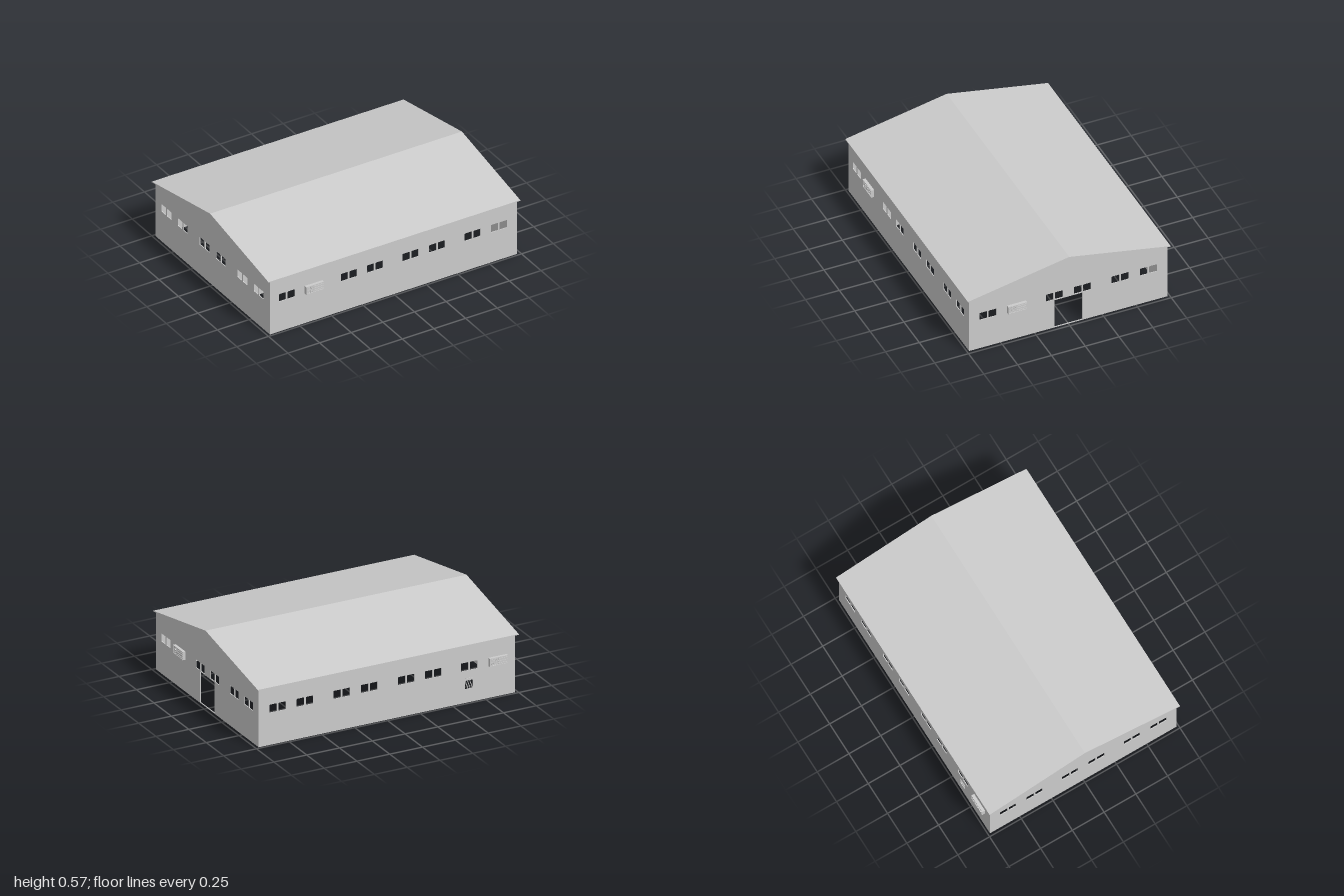
import * as THREE from 'three';

const mat = new THREE.MeshStandardMaterial({ color: 0xcccccc, side: THREE.DoubleSide });
const T = 0.006;                          // wall thickness
const EAVE = 0.432, RIDGE = 0.575, ROOF_Z = 0.75;
const X0 = -0.98, X1 = 0.975, Z1 = 0.735; // wall faces
const roofY = z => RIDGE - (RIDGE - 0.43) * Math.abs(z) / ROOF_Z;

function add(parent, name, geo, x = 0, y = 0, z = 0) {
  const m = new THREE.Mesh(geo, mat);
  m.name = name;
  m.position.set(x, y, z);
  parent.add(m);
  return m;
}
const box = (w, h, d) => new THREE.BoxGeometry(w, h, d);

// A bar between two points
function bar(parent, name, a, b, w, d) {
  const p = new THREE.Vector3(...a), q = new THREE.Vector3(...b);
  const m = add(parent, name, box(w, d, p.distanceTo(q)));
  m.position.copy(p).add(q).multiplyScalar(0.5);
  m.lookAt(q);
  return m;
}

// Two panes side by side: [left, right, bottom, top]
const pairs = centres => centres.flatMap(c => [
  [c - 0.063, c - 0.006, 0.236, 0.296],
  [c + 0.006, c + 0.063, 0.236, 0.296],
]);

// Rectangular hole with slightly rounded corners
function hole([l, r, b, t]) {
  const k = 0.005, p = new THREE.Path();
  p.moveTo(l + k, b);
  p.lineTo(r - k, b); p.quadraticCurveTo(r, b, r, b + k);
  p.lineTo(r, t - k); p.quadraticCurveTo(r, t, r - k, t);
  p.lineTo(l + k, t); p.quadraticCurveTo(l, t, l, t - k);
  p.lineTo(l, b + k); p.quadraticCurveTo(l, b, l + k, b);
  return p;
}

// Upright panel whose outer face lies on its local z = 0
function panel(parent, name, outline, openings) {
  const shape = new THREE.Shape(outline.map(([x, y]) => new THREE.Vector2(x, y)));
  shape.holes = openings.map(hole);
  const geo = new THREE.ExtrudeGeometry(shape, { depth: T, bevelEnabled: false, curveSegments: 3 });
  geo.translate(0, 0, -T);
  return add(parent, name, geo);
}
const rect = (l, r, h) => [[l, 0], [r, 0], [r, h], [l, h]];

// A side of the building turned to face outwards
function side(parent, name, x, z, turn) {
  const g = new THREE.Group();
  g.name = name;
  g.position.set(x, 0, z);
  g.rotation.y = turn;
  parent.add(g);
  return g;
}

// Wall-mounted cooling unit with a round fan grille and louvres
function coolingUnit(parent, u) {
  const g = new THREE.Group();
  g.name = 'coolingUnit';
  g.position.set(u, 0.266, 0);
  parent.add(g);
  add(g, 'unitCase', box(0.14, 0.06, 0.018), 0, 0, 0.009);
  for (const s of [-1, 1]) {
    add(g, 'unitRim', box(0.14, 0.004, 0.004), 0, s * 0.028, 0.02);
    add(g, 'unitRim', box(0.004, 0.06, 0.004), s * 0.068, 0, 0.02);
  }
  for (const r of [0.012, 0.024]) add(g, 'fanRing', new THREE.TorusGeometry(r, 0.0015, 6, 24), -0.036, 0, 0.02);
  for (let i = 0; i < 4; i++) {
    const spoke = add(g, 'fanSpoke', box(0.048, 0.003, 0.002), -0.036, 0, 0.02);
    spoke.rotation.z = i * Math.PI / 4;
  }
  for (let i = -1; i <= 1; i++) add(g, 'louvre', box(0.07, 0.005, 0.004), 0.03, i * 0.016, 0.02);
}

// Small vent opening with slanted bars and a narrow hood above
const ventHole = u => [u - 0.029, u + 0.029, 0.1, 0.162];
function vent(parent, u) {
  for (let i = -1; i <= 1; i++) {
    const b = add(parent, 'ventBar', box(0.005, 0.058, 0.003), u + i * 0.017, 0.131, -T / 2);
    b.rotation.z = 0.35;
  }
  add(parent, 'ventHood', box(0.058, 0.003, 0.004), u, 0.178, 0.001);
}

export function createModel() {
  const model = new THREE.Group();
  model.name = 'warehouse';

  // Long front and back walls
  const front = side(model, 'frontSide', 0, Z1, 0);
  panel(front, 'frontWall', rect(X0, X1, EAVE),
    pairs([-0.845, -0.355, -0.15, 0.1325, 0.3425, 0.6225, 0.83]));
  coolingUnit(front, -0.635);

  const back = side(model, 'backSide', 0, -Z1, Math.PI);
  panel(back, 'backWall', rect(-X1, -X0, EAVE),
    [...pairs([-0.83, -0.6225, -0.3425, -0.1325, 0.15, 0.355, 0.63]), ventHole(0.628)]);
  vent(back, 0.628);
  coolingUnit(back, 0.845);

  // Gable walls; the left one has the doorway
  const gable = [[Z1, 0], [Z1, EAVE], [0, RIDGE - 0.004], [-Z1, EAVE], [-Z1, 0]];
  const doorGable = [[0.104, 0], [0.104, 0.23], [-0.104, 0.23], [-0.104, 0], [-Z1, 0],
    [-Z1, EAVE], [0, RIDGE - 0.004], [Z1, EAVE], [Z1, 0]];
  const left = side(model, 'leftSide', X1, 0, Math.PI / 2);
  panel(left, 'leftGableWall', doorGable, pairs([-0.595, -0.104, 0.104, 0.383, 0.592]));
  add(left, 'doorThreshold', box(0.21, 0.005, T), 0, 0.0025, -T / 2);
  coolingUnit(left, -0.384);

  const right = side(model, 'rightSide', X0, 0, -Math.PI / 2);
  panel(right, 'rightGableWall', gable, pairs([-0.592, -0.383, -0.104, 0.104, 0.383, 0.592]));

  // Pitched roof sheet
  const roofShape = new THREE.Shape([[ROOF_Z, 0.43], [0, RIDGE], [-ROOF_Z, 0.43],
    [-ROOF_Z, 0.424], [0, RIDGE - 0.006], [ROOF_Z, 0.424]].map(p => new THREE.Vector2(...p)));
  const roofGeo = new THREE.ExtrudeGeometry(roofShape, { depth: 1.99, bevelEnabled: false });
  roofGeo.rotateY(Math.PI / 2);
  add(model, 'roof', roofGeo, -1, 0, 0);

  // Lattice rafters below the roof
  const trusses = new THREE.Group();
  trusses.name = 'roofTrusses';
  model.add(trusses);
  const depth = 0.06, bays = 10, zEnd = 0.725;
  for (let i = 0; i < 7; i++) {
    const x = -0.93 + i * 0.31;
    for (const s of [-1, 1]) {
      for (const drop of [0.014, depth]) {
        bar(trusses, 'trussChord', [x, roofY(0) - drop, 0], [x, roofY(zEnd) - drop, s * zEnd], 0.014, 0.008);
      }
      for (let j = 0; j < bays; j++) {
        const za = zEnd * j / bays, zb = zEnd * (j + 1) / bays;
        const da = j % 2 ? 0.014 : depth, db = j % 2 ? depth : 0.014;
        bar(trusses, 'trussWeb', [x, roofY(za) - da, s * za], [x, roofY(zb) - db, s * zb], 0.008, 0.005);
      }
    }
  }
  // Purlins along the building
  for (const z of [-0.7, -0.47, -0.24, 0.24, 0.47, 0.7]) {
    add(model, 'purlin', box(X1 - X0 - 0.02, 0.008, 0.01), (X0 + X1) / 2, roofY(z) - 0.012, z);
  }

  // Corner office inside: two partitions and a ceiling
  const ox = -0.5, oz = 0.256, oh = 0.3;
  const officeLeft = side(model, 'officeLeftSide', ox, 0, Math.PI / 2);
  panel(officeLeft, 'officeWindowWall', rect(-Z1 + T, -oz, oh), [[-0.63, -0.37, 0.12, 0.205]]);
  const officeBack = side(model, 'officeBackSide', 0, oz, Math.PI);
  panel(officeBack, 'officeVentWall', rect(-ox, -X0 - T, oh), [ventHole(0.835)]);
  vent(officeBack, 0.835);
  add(model, 'officeCeiling', box(ox - X0 - T, T, Z1 - oz - T), (ox + X0 + T) / 2, oh, (Z1 + oz - T) / 2);

  return model;
}
